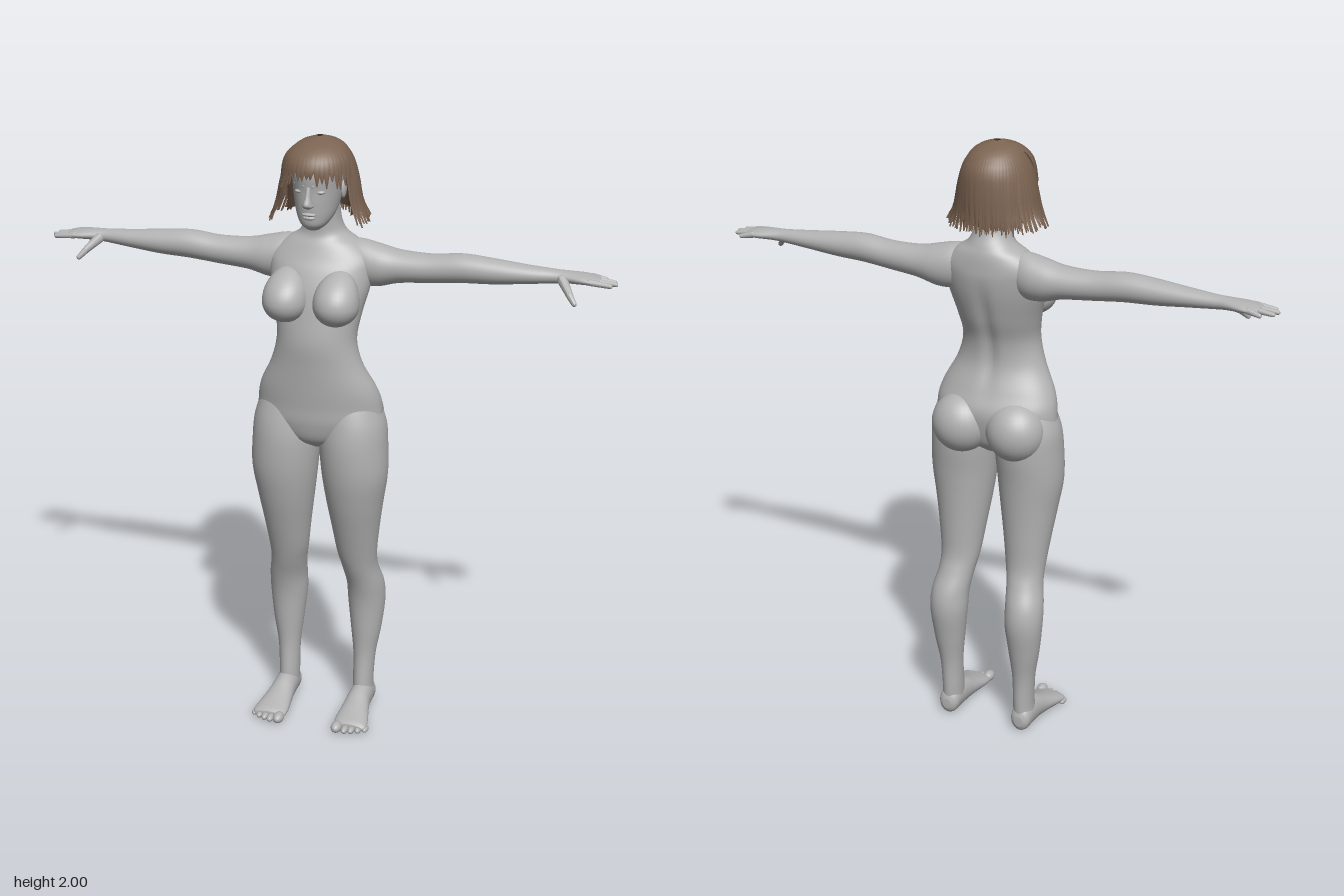
import * as THREE from 'three';
import { mergeGeometries } from 'three/addons/utils/BufferGeometryUtils.js';

const skin = new THREE.MeshStandardMaterial({ color: 0xb2b2b2 });
skin.name = 'grey skin';
const hairBrown = new THREE.MeshStandardMaterial({ color: 0x7c6452, side: THREE.DoubleSide });
hairBrown.name = 'brown hair';
const hairDark = new THREE.MeshStandardMaterial({ color: 0x574538, side: THREE.DoubleSide });
hairDark.name = 'dark under hair';

let seed = 11;
const rand = () => (seed = (seed * 16807) % 2147483647) / 2147483647;
const jitter = (a) => (rand() - 0.5) * 2 * a;

// Rows are [along, centre, half width, front, back]; smoothed between rows.
// axis 'y': width x, depth z. axis 'x': width z, depth y. axis 'z': width y, depth x.
function loft(rows, axis = 'y', seg = 32, per = 6) {
  const pos = [], idx = [], n = rows.length;
  const put = (a, u, v) => pos.push(...(axis === 'y' ? [u, a, v] : axis === 'x' ? [a, v, u] : [v, u, a]));
  const sample = (t) => {
    const i = Math.min(n - 2, Math.floor(t)), f = t - i;
    return rows[0].map((_, k) => {
      const g = (j) => rows[Math.max(0, Math.min(n - 1, j))][k];
      const [a, b, c, d] = [g(i - 1), g(i), g(i + 1), g(i + 2)];
      return b + 0.5 * f * (c - a + f * (2 * a - 5 * b + 4 * c - d + f * (3 * (b - c) + d - a)));
    });
  };
  const count = (n - 1) * per;
  for (let i = 0; i <= count; i++) {
    const [a, c, w, f, b] = sample(i / per);
    for (let j = 0; j < seg; j++) {
      const t = (j / seg) * Math.PI * 2;
      put(a, c + w * Math.cos(t), (f + b) / 2 + ((f - b) / 2) * Math.sin(t));
    }
  }
  for (let i = 0; i < count; i++) for (let j = 0; j < seg; j++) {
    const k = (j + 1) % seg, p = i * seg, q = p + seg;
    idx.push(p + j, q + j, p + k, p + k, q + j, q + k);
  }
  // End caps
  for (const [row, base] of [[rows[0], 0], [rows[n - 1], count * seg]]) {
    const centre = pos.length / 3;
    put(row[0], row[1], (row[3] + row[4]) / 2);
    for (let j = 0; j < seg; j++) {
      const k = (j + 1) % seg;
      if (base) idx.push(centre, base + k, base + j);
      else idx.push(centre, j, k);
    }
  }
  const geo = new THREE.BufferGeometry();
  geo.setAttribute('position', new THREE.Float32BufferAttribute(pos, 3));
  geo.setIndex(idx);
  geo.computeVertexNormals();
  return geo;
}

const ball = (c, r) => new THREE.SphereGeometry(1, 28, 20).scale(...r).translate(...c);

// Tapered rounded rod between two points
function rod(a, b, r0, r1) {
  const A = new THREE.Vector3(...a), dir = new THREE.Vector3(...b).sub(A), len = dir.length();
  const geo = new THREE.CapsuleGeometry(1, len, 6, 12), p = geo.attributes.position;
  for (let i = 0; i < p.count; i++) {
    const y = p.getY(i), t = Math.max(0, Math.min(1, y / len + 0.5)), r = r0 + (r1 - r0) * t;
    const end = Math.max(-len / 2, Math.min(len / 2, y));
    p.setXYZ(i, p.getX(i) * r, end + (y - end) * r + len / 2, p.getZ(i) * r);
  }
  geo.computeVertexNormals();
  geo.applyQuaternion(new THREE.Quaternion().setFromUnitVectors(new THREE.Vector3(0, 1, 0), dir.normalize()));
  return geo.translate(...a);
}

function mirrored(geo) {
  const m = geo.clone().scale(-1, 1, 1), ix = m.index.array;
  for (let i = 0; i < ix.length; i += 3) [ix[i], ix[i + 1]] = [ix[i + 1], ix[i]];
  m.computeVertexNormals();
  return m;
}

// Hair lock: a bowed ribbon from the crown to a pointed tip
function lock(phi, stops, width) {
  const curve = new THREE.CatmullRomCurve3(stops.map(([k, y]) =>
    new THREE.Vector3(Math.sin(phi) * 0.105 * k, y, -0.008 + Math.cos(phi) * 0.126 * k)));
  const steps = 14, pos = [], idx = [];
  for (let i = 0; i <= steps; i++) {
    const s = i / steps, p = curve.getPoint(s);
    const w = width * Math.min(1, 0.25 + 2 * s) * (s > 0.7 ? 1 - (s - 0.7) * 3 : 1);
    for (const e of [-1, 0, 1]) {
      const out = e ? 0 : 0.005;
      pos.push(p.x + Math.cos(phi) * w * e + Math.sin(phi) * out, p.y, p.z - Math.sin(phi) * w * e + Math.cos(phi) * out);
    }
    if (i < steps) for (const o of [0, 1]) {
      const a = i * 3 + o;
      idx.push(a, a + 3, a + 1, a + 1, a + 3, a + 4);
    }
  }
  const geo = new THREE.BufferGeometry();
  geo.setAttribute('position', new THREE.Float32BufferAttribute(pos, 3));
  geo.setIndex(idx);
  geo.computeVertexNormals();
  return geo;
}

export function createModel() {
  const model = new THREE.Group();
  model.name = 'figure';
  const add = (name, geo, mat = skin) => {
    const mesh = new THREE.Mesh(geo, mat);
    mesh.name = name;
    model.add(mesh);
  };
  const pair = (name, geo) => { add('left ' + name, geo); add('right ' + name, mirrored(geo)); };

  // Torso and neck, with a shallow groove along the spine
  const torso = loft([[0.985, 0, 0.04, 0.03, -0.06], [1.02, 0, 0.13, 0.08, -0.1], [1.08, 0, 0.2, 0.1, -0.12],
    [1.14, 0, 0.206, 0.105, -0.125], [1.2, 0, 0.19, 0.111, -0.1], [1.28, 0, 0.15, 0.118, -0.07],
    [1.36, 0, 0.13, 0.124, -0.073], [1.44, 0, 0.14, 0.115, -0.1], [1.52, 0, 0.16, 0.1, -0.122],
    [1.58, 0, 0.168, 0.078, -0.132], [1.62, 0, 0.165, 0.055, -0.132], [1.66, 0, 0.125, 0.036, -0.128],
    [1.69, 0, 0.078, 0.022, -0.118], [1.73, 0, 0.06, 0.022, -0.1], [1.8, 0, 0.055, 0.03, -0.085]], 'y', 64);
  const tp = torso.attributes.position;
  for (let i = 0; i < tp.count; i++) {
    if (tp.getZ(i) > -0.02) continue;
    const x = tp.getX(i) / 0.022, y = (tp.getY(i) - 1.38) / 0.17;
    tp.setZ(i, tp.getZ(i) + 0.012 * Math.exp(-x * x - y * y * y * y));
  }
  torso.computeVertexNormals();
  add('torso', torso);

  // Chest, drawn out upward into the torso
  const chest = new THREE.SphereGeometry(1, 32, 24), cp = chest.attributes.position;
  for (let i = 0; i < cp.count; i++) {
    const y = cp.getY(i);
    if (y > 0) cp.setXYZ(i, cp.getX(i), y * 1.5, cp.getZ(i) - 0.55 * y * y);
  }
  chest.scale(0.073, 0.068, 0.078).translate(0.083, 1.492, 0.09).computeVertexNormals();
  pair('chest', chest);
  pair('buttock', ball([0.096, 1.078, -0.075], [0.098, 0.1, 0.092]));

  // Legs
  pair('leg', loft([[0.05, 0.135, 0.035, -0.03, -0.125], [0.1, 0.133, 0.034, -0.033, -0.127],
    [0.2, 0.135, 0.038, -0.043, -0.13], [0.3, 0.138, 0.052, -0.04, -0.146], [0.4, 0.138, 0.063, -0.034, -0.161],
    [0.47, 0.136, 0.063, -0.02, -0.153], [0.54, 0.125, 0.061, 0.003, -0.122], [0.6, 0.119, 0.067, 0.022, -0.104],
    [0.7, 0.118, 0.08, 0.052, -0.103], [0.8, 0.118, 0.095, 0.08, -0.106], [0.9, 0.119, 0.109, 0.1, -0.112],
    [1.0, 0.114, 0.112, 0.105, -0.122], [1.08, 0.11, 0.108, 0.096, -0.12], [1.16, 0.095, 0.095, 0.075, -0.09]], 'y', 40));

  // Feet and toes
  pair('foot', loft([[-0.13, 0.04, 0.018, 0.15, 0.12], [-0.115, 0.044, 0.042, 0.168, 0.102],
    [-0.07, 0.05, 0.05, 0.172, 0.098], [-0.02, 0.046, 0.046, 0.175, 0.095], [0.03, 0.035, 0.035, 0.185, 0.09],
    [0.08, 0.025, 0.025, 0.197, 0.085], [0.11, 0.02, 0.019, 0.2, 0.087], [0.125, 0.018, 0.012, 0.19, 0.095]], 'z'));
  for (let i = 0; i < 5; i++) {
    const r = i ? 0.0125 - i * 0.0006 : 0.018;
    pair('toe ' + (i + 1), ball([i ? 0.11 + i * 0.0215 : 0.103, r + 0.002, 0.134 - i * i * 0.0018], [r, r, r * (i ? 1.9 : 1.5)]));
  }

  // Arms and palms
  pair('arm', loft([[0.05, -0.05, 0.03, 1.67, 1.56], [0.12, -0.052, 0.058, 1.672, 1.525], [0.18, -0.053, 0.063, 1.66, 1.523],
    [0.25, -0.053, 0.055, 1.645, 1.54], [0.35, -0.05, 0.048, 1.642, 1.55], [0.45, -0.048, 0.047, 1.652, 1.56],
    [0.55, -0.048, 0.043, 1.645, 1.565], [0.65, -0.05, 0.036, 1.635, 1.575], [0.74, -0.054, 0.027, 1.628, 1.584],
    [0.78, -0.055, 0.031, 1.626, 1.588], [0.83, -0.056, 0.043, 1.622, 1.59], [0.865, -0.056, 0.042, 1.616, 1.592],
    [0.878, -0.056, 0.03, 1.61, 1.597]], 'x'));

  // Fingers and thumb
  [[-0.089, 0.888, -0.097], [-0.067, 0.92, -0.07], [-0.045, 0.927, -0.045], [-0.023, 0.914, -0.021]].forEach(([z0, x, z1], i) =>
    pair('finger ' + (i + 1), rod([0.85, 1.605, z0], [x, 1.598, z1], 0.0105, 0.007)));
  pair('thumb base', rod([0.765, 1.602, -0.035], [0.797, 1.568, 0.008], 0.017, 0.011));
  pair('thumb tip', rod([0.797, 1.568, 0.008], [0.815, 1.547, 0.024], 0.011, 0.008));

  // Head and face
  add('head', loft([[1.722, 0, 0.02, 0.08, 0.035], [1.74, 0, 0.042, 0.1, 0], [1.77, 0, 0.06, 0.106, -0.05],
    [1.81, 0, 0.07, 0.11, -0.085], [1.85, 0, 0.076, 0.112, -0.1], [1.9, 0, 0.08, 0.118, -0.11],
    [1.94, 0, 0.075, 0.105, -0.105], [1.97, 0, 0.055, 0.075, -0.08], [1.985, 0, 0.02, 0.03, -0.04]], 'y', 40));
  add('nose', loft([[1.797, 0, 0.006, 0.118, 0.095], [1.805, 0, 0.017, 0.134, 0.09], [1.815, 0, 0.014, 0.141, 0.09],
    [1.835, 0, 0.01, 0.129, 0.09], [1.865, 0, 0.008, 0.117, 0.09]], 'y', 16));
  add('upper lip', ball([0, 1.778, 0.104], [0.023, 0.006, 0.011]));
  add('lower lip', ball([0, 1.767, 0.102], [0.02, 0.007, 0.011]));
  pair('eye', ball([0.032, 1.848, 0.094], [0.016, 0.007, 0.012]));
  pair('brow', rod([0.014, 1.868, 0.108], [0.05, 1.87, 0.086], 0.006, 0.004));
  pair('ear', ball([0.077, 1.84, -0.005], [0.009, 0.03, 0.018]));

  // Dark layer under the hair
  add('hair cap', new THREE.SphereGeometry(1, 32, 14, 0, Math.PI * 2, 0, Math.PI * 0.42)
    .scale(0.099, 0.122, 0.12).translate(0, 1.87, -0.008), hairDark);
  add('hair backing', new THREE.CylinderGeometry(1, 1.04, 0.15, 32, 1, true, 1.45, Math.PI * 2 - 2.9)
    .scale(0.1, 1, 0.12).translate(0, 1.832, -0.008), hairDark);

  // Long locks at the sides and back, in two layers
  const locks = [];
  for (let layer = 0; layer < 2; layer++) for (let i = 0; i < 38; i++) {
    const phi = 1.25 + (i + layer * 0.5) * ((Math.PI * 2 - 2.5) / 37.5);
    const flare = 1 + 0.48 * Math.abs(Math.sin(phi)) ** 3 + jitter(0.04);
    const k = 1 - layer * 0.03;
    locks.push(lock(phi, [[0.08, 2 - layer * 0.004], [0.6 * k, 1.978], [0.93 * k, 1.93],
      [k * (0.75 + 0.25 * flare), 1.87], [k * (0.45 + 0.55 * flare), 1.8], [flare, 1.742 + jitter(0.014)]], 0.0135));
  }
  // Fringe
  for (let i = 0; i < 19; i++) {
    const phi = -1.2 + (i / 18) * 2.4, side = Math.abs(phi) / 1.2;
    locks.push(lock(phi + jitter(0.03), [[0.08, 2], [0.6, 1.98], [0.92, 1.95], [1.04, 1.92],
      [1.07 + side * 0.05, 1.885 - side * side * 0.04 + jitter(0.013)]], 0.015));
  }
  add('hair locks', mergeGeometries(locks), hairBrown);
  return model;
}
